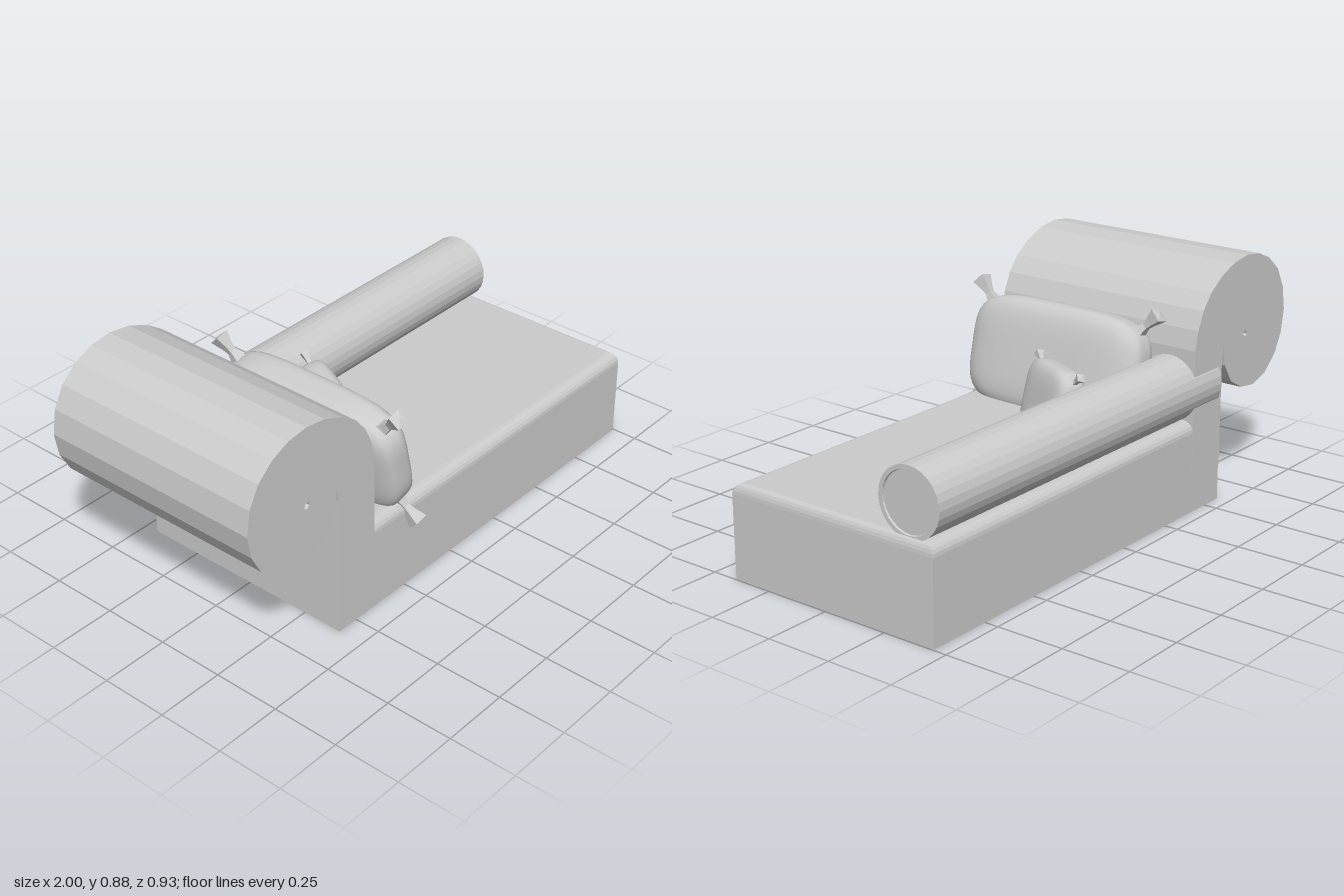
import * as THREE from 'three';
import { mergeVertices } from 'three/addons/utils/BufferGeometryUtils.js';

const flat = new THREE.MeshStandardMaterial({ color: 0xcccccc, flatShading: true });
const smooth = new THREE.MeshStandardMaterial({ color: 0xcccccc });

function part(name, geometry, material = flat) {
  const mesh = new THREE.Mesh(geometry, material);
  mesh.name = name;
  return mesh;
}

const points = (list) => list.map(([x, y]) => new THREE.Vector2(x, y));

// Box whose upper edges are rolled over in a quarter circle
function seatGeometry() {
  const rows = 6, x0 = -0.583, x1 = 0.995, z0 = -0.449, z1 = 0.404, roll = 0.04;
  const g = new THREE.BoxGeometry(2, rows, 2, 1, rows, 1);
  const p = g.attributes.position;
  for (let i = 0; i < p.count; i++) {
    const k = Math.round(p.getY(i) + rows / 2);
    const a = (Math.max(k - 1, 0) / (rows - 1)) * Math.PI / 2;
    const inset = roll * (1 - Math.cos(a));
    p.setXYZ(i,
      p.getX(i) > 0 ? x1 - inset * 0.5 : x0,
      k === 0 ? 0 : 0.3 + roll * Math.sin(a),
      p.getZ(i) > 0 ? z1 - inset : z0 + inset);
  }
  return g;
}

// Rolled arm: upright back running into a scroll with a small eye
function armGeometry() {
  const shape = new THREE.Shape(points([
    [-0.585, 0.13], [-0.41, 0.13], [-0.41, 0.6], [-0.425, 0.67], [-0.455, 0.735],
    [-0.5, 0.79], [-0.565, 0.835], [-0.645, 0.868], [-0.73, 0.88], [-0.81, 0.87],
    [-0.88, 0.84], [-0.945, 0.785], [-0.985, 0.71], [-1, 0.62], [-0.985, 0.535],
    [-0.945, 0.46], [-0.88, 0.405], [-0.8, 0.38], [-0.72, 0.39], [-0.65, 0.43],
    [-0.605, 0.5], [-0.592, 0.58], [-0.585, 0.53],
  ]));
  shape.holes.push(new THREE.Path(points([
    [-0.745, 0.585], [-0.74, 0.603], [-0.725, 0.603], [-0.72, 0.588], [-0.735, 0.577],
  ])));
  const g = new THREE.ExtrudeGeometry(shape, { depth: 0.855, bevelEnabled: false });
  return g.translate(0, 0, -0.45);
}

// Puffed rounded block
function cushionGeometry(hx, hy, hz) {
  let g = new THREE.BoxGeometry(2, 2, 2, 10, 14, 14);
  g.deleteAttribute('uv');
  g.deleteAttribute('normal');
  g = mergeVertices(g);
  const p = g.attributes.position, v = new THREE.Vector3(), e = 4.2;
  for (let i = 0; i < p.count; i++) {
    v.fromBufferAttribute(p, i);
    v.set(...v.toArray().map((c) => Math.tan(c * Math.PI / 4)));
    const r = (Math.abs(v.x) ** e + Math.abs(v.y) ** e + Math.abs(v.z) ** e) ** (-1 / e);
    p.setXYZ(i, v.x * r * hx, v.y * r * hy, v.z * r * hz);
  }
  g.computeVertexNormals();
  return g;
}

// Square tassel flaring out from a narrow neck, tip at its far end
const tasselGeometry = new THREE.LatheGeometry(points([
  [0, -0.135], [0.045, -0.135], [0.024, -0.095], [0.016, -0.07], [0.022, -0.045], [0.036, -0.005], [0, 0],
]), 4).rotateY(Math.PI / 4);

// Pillow with tassels; each tassel is [tip y, tip z, direction y, direction z], mirrored four ways
function pillow(name, half, tassels, scale) {
  const group = new THREE.Group();
  group.name = name;
  group.rotation.order = 'YXZ';
  group.add(part(name + 'Cushion', cushionGeometry(...half), smooth));
  for (const [y, z, dy, dz] of tassels) {
    for (const sy of [-1, 1]) for (const sz of [-1, 1]) {
      const tassel = part(name + 'Tassel', tasselGeometry);
      tassel.position.set(0, sy * y, sz * z);
      tassel.rotation.x = Math.atan2(sz * dz, sy * dy);
      tassel.scale.setScalar(scale);
      group.add(tassel);
    }
  }
  return group;
}

export function createModel() {
  const model = new THREE.Group();
  model.name = 'chaiseLongue';

  model.add(part('seatBase', seatGeometry()));
  model.add(part('scrollArm', armGeometry()));

  // Back bolster with a slightly recessed disc at each end
  const bolster = part('backBolster', new THREE.LatheGeometry(points([
    [0, -0.558], [0.105, -0.558], [0.107, -0.565], [0.122, -0.565],
    [0.122, 0.98], [0.107, 0.98], [0.105, 0.973], [0, 0.973],
  ]), 28).rotateZ(-Math.PI / 2));
  bolster.position.set(0, 0.448, -0.343);
  model.add(bolster);

  // Large pillow leaning on the arm
  const large = pillow('largePillow', [0.085, 0.207, 0.368], [[0.238, 0.397, 1, 1]], 1);
  large.position.set(-0.285, 0.5, 0.05);
  large.rotation.z = 0.23;
  model.add(large);

  // Small pillow turned towards the front
  const small = pillow('smallPillow', [0.056, 0.136, 0.15],
    [[0.138, 0.168, 0.8, 1], [0.046, 0.186, 0.1, 1]], 0.55);
  small.position.set(-0.075, 0.428, -0.08);
  small.rotation.set(0, -0.47, 0.22);
  model.add(small);

  return model;
}
